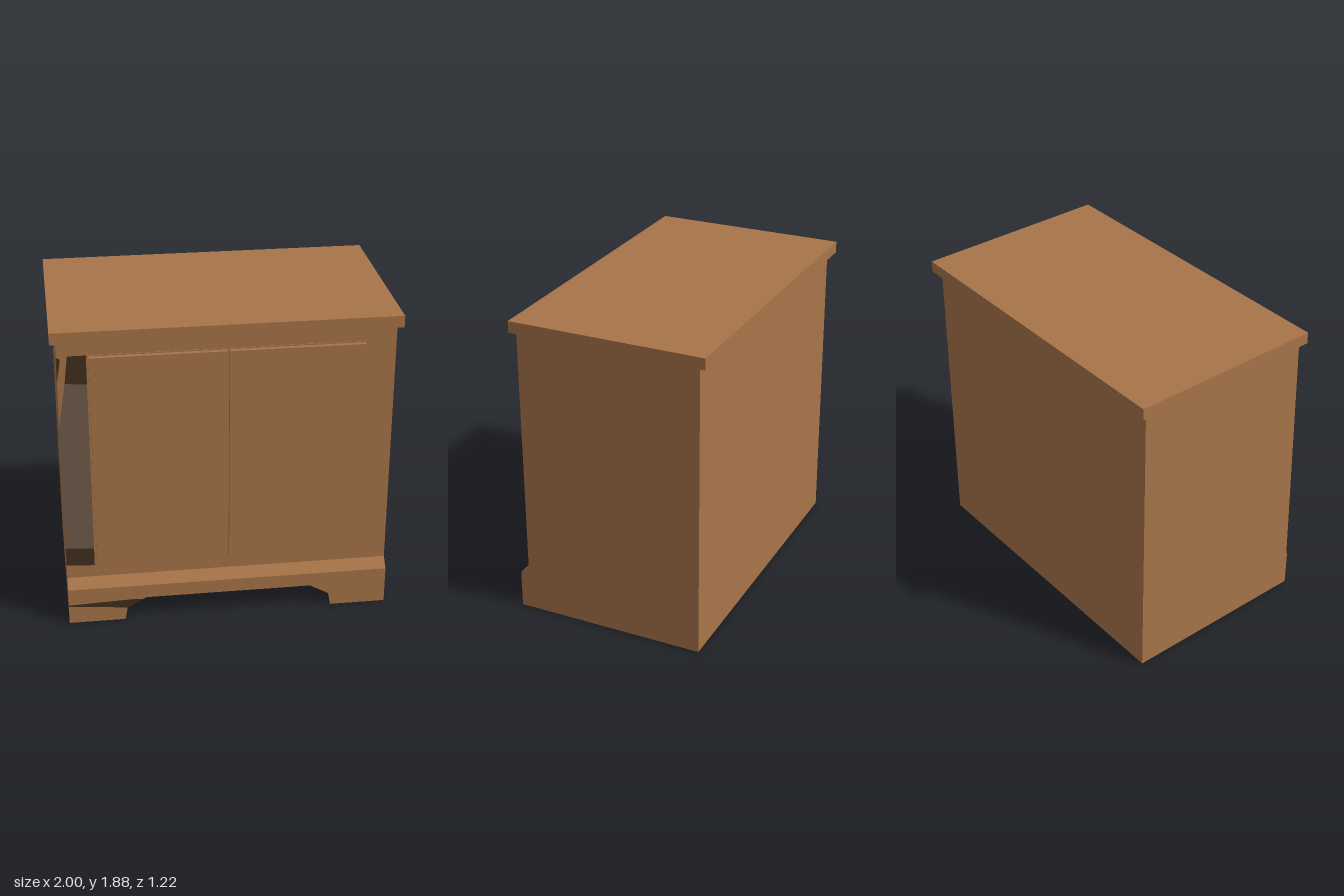
import * as THREE from 'three';

export function createModel() {
  const model = new THREE.Group();
  const material = (name, color) => {
    const m = new THREE.MeshStandardMaterial({ color });
    m.name = name;
    return m;
  };
  const wood = material('brown wood', 0xa87549);
  const grey = material('worn grey brown', 0x725d4d);
  const dark = material('dark stain', 0x42301f);

  const add = (name, geometry, mat = wood) => {
    const mesh = new THREE.Mesh(geometry, mat);
    mesh.name = name;
    model.add(mesh);
    return mesh;
  };
  // box from its minimum and maximum corners
  const box = (name, a, b) => {
    const g = new THREE.BoxGeometry(b[0] - a[0], b[1] - a[1], b[2] - a[2]);
    g.translate((a[0] + b[0]) / 2, (a[1] + b[1]) / 2, (a[2] + b[2]) / 2);
    return add(name, g);
  };
  // flat upright face in the xy plane
  const plate = (name, points, z, mat) => {
    const shape = new THREE.Shape(points.map(([x, y]) => new THREE.Vector2(x, y)));
    add(name, new THREE.ShapeGeometry(shape).translate(0, 0, z), mat);
  };
  // each polygon is a fan around its first corner
  const faces = (name, polygons) => {
    const pos = [];
    for (const p of polygons)
      for (let i = 1; i < p.length - 1; i++) pos.push(...p[0], ...p[i], ...p[i + 1]);
    const g = new THREE.BufferGeometry();
    g.setAttribute('position', new THREE.Float32BufferAttribute(pos, 3));
    g.computeVertexNormals();
    add(name, g);
  };

  const W = 0.967, BACK = -0.565, FRONT = 0.555, BASE = 0.61, TOP = 1.81;

  // cabinet carcass: both sides, back, front and the sloping plinth ledge
  const profile = [[0, BACK], [TOP, BACK], [TOP, FRONT], [0.285, FRONT], [0.23, BASE], [0, BASE]];
  const side = (x) => profile.map(([y, z]) => [x, y, z]);
  const across = ([y0, z0], [y1, z1]) => [[-W, y0, z0], [W, y0, z0], [W, y1, z1], [-W, y1, z1]];
  faces('carcass', [
    side(W),
    side(-W).reverse(),
    across(profile[1], profile[0]),
    across(profile[2], profile[1]),
    across(profile[3], profile[2]),
    across(profile[4], profile[3]),
  ]);

  // plinth front with its cut-out between the feet
  const notch = [[0.63, 0], [0.615, 0.08], [0.5, 0.145]];
  plate('plinthFront', [
    [-W, 0], ...notch.map(([x, y]) => [-x, y]), ...[...notch].reverse(),
    [W, 0], [W, 0.23], [-W, 0.23],
  ], BASE, wood);

  // underside: the cut-out tapers back to the rear bottom edge
  const under = [];
  for (const s of [-1, 1]) {
    const corner = [s * W, 0, BACK];
    const rim = [[W, 0], ...notch].map(([x, y]) => [s * x, y, BASE]);
    for (let i = 0; i < 3; i++)
      under.push(s > 0 ? [corner, rim[i], rim[i + 1]] : [corner, rim[i + 1], rim[i]]);
  }
  under.push([[-W, 0, BACK], [W, 0, BACK], [0.5, 0.145, BASE], [-0.5, 0.145, BASE]]);
  faces('underside', under);

  // overhanging top
  box('top', [-1, TOP, -0.61], [1, 1.88, 0.585]);

  // pair of doors on a shallow backing border
  box('doorBorder', [-0.797, 0.36, FRONT - 0.01], [0.797, 1.727, FRONT + 0.004]);
  box('rightDoor', [-0.787, 0.368, FRONT - 0.01], [-0.008, 1.72, 0.585]);
  box('leftDoor', [0.005, 0.368, FRONT - 0.01], [0.784, 1.72, 0.585]);

  // worn and stained patches beside the right door and on the plinth
  const z = FRONT + 0.002;
  plate('wornPatch', [[-W, 0.49], [-0.8, 0.48], [-0.8, 1.55], [-0.925, 1.56], [-W, 1.3]], z, grey);
  plate('upperStain', [[-0.925, 1.56], [-0.8, 1.55], [-0.8, 1.727], [-0.905, 1.727]], z, dark);
  plate('lowerStain', [[-W, 0.375], [-0.8, 0.362], [-0.8, 0.48], [-W, 0.49]], z, dark);
  plate('cornerStain', [[-W, 1.57], [-0.945, 1.7], [-0.95, 1.715], [-W, 1.72]], z, dark);
  plate('plinthStain', [[-W, 0.115], [-0.61, 0.083], [-0.52, 0.135], [-0.56, 0.14], [-W, 0.125]], BASE + 0.002, dark);

  return model;
}
